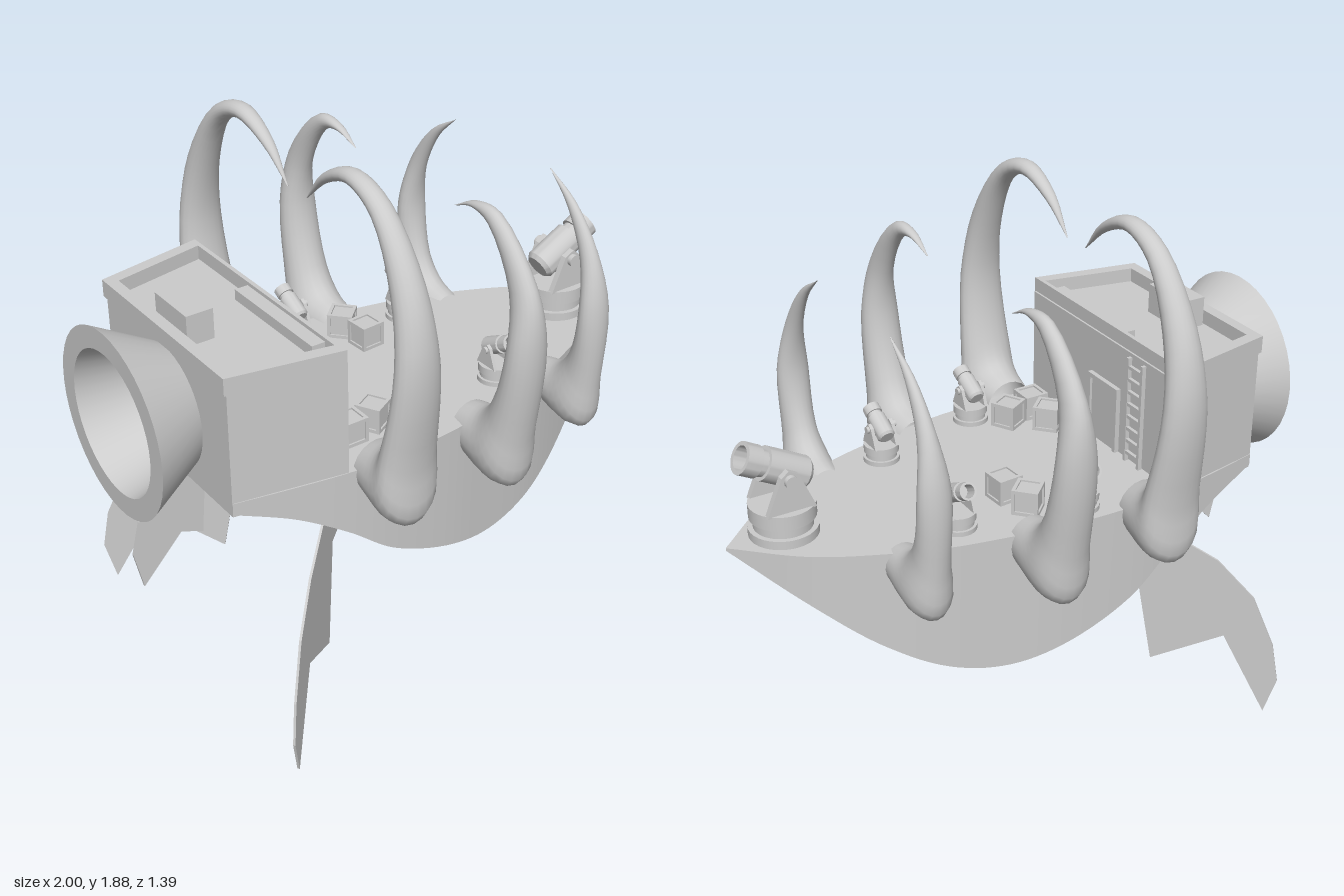
import * as THREE from 'three';
import { toCreasedNormals } from 'three/addons/utils/BufferGeometryUtils.js';

const mat = new THREE.MeshStandardMaterial({ color: 0xcccccc, side: THREE.DoubleSide });

function add(parent, name, geo, x = 0, y = 0, z = 0) {
  const m = new THREE.Mesh(geo, mat);
  m.name = name;
  m.position.set(x, y, z);
  parent.add(m);
  return m;
}
const box = (x, y, z) => new THREE.BoxGeometry(x, y, z);
const cyl = (r, h) => new THREE.CylinderGeometry(r, r, h, 32);
const vectors = (points) => points.map(([x, y]) => new THREE.Vector2(x, y));
const polygon = (points) => new THREE.Shape(vectors(points));
const lathe = (points) => toCreasedNormals(new THREE.LatheGeometry(vectors(points), 40), 0.5);

function extrude(shape, depth) {
  const g = new THREE.ExtrudeGeometry(shape, { depth, bevelEnabled: false });
  return g.translate(0, 0, -depth / 2);
}

// Hull: a box bent to a plan outline and a keel curve; each station is [x, half width, keel height]
function hullGeometry() {
  const curve = new THREE.CatmullRomCurve3([
    [-0.8, 0.37, 0.89], [-0.6, 0.41, 0.81], [-0.42, 0.44, 0.7], [-0.25, 0.452, 0.57],
    [0, 0.44, 0.465], [0.2, 0.405, 0.43], [0.4, 0.36, 0.47], [0.6, 0.285, 0.58],
    [0.8, 0.18, 0.745], [1, 0.001, 0.92],
  ].map((p) => new THREE.Vector3(...p)));
  const g = new THREE.BoxGeometry(1, 1, 1, 60, 1, 1);
  const pos = g.attributes.position;
  for (let i = 0; i < pos.count; i++) {
    const s = curve.getPoint(pos.getX(i) + 0.5);
    pos.setXYZ(i, s.x, pos.getY(i) > 0 ? 0.93 : s.z, pos.getZ(i) * 2 * s.y);
  }
  g.computeVertexNormals();
  return g;
}

// Horn: elliptical rings between an inner and an outer profile; rows are [zIn, yIn, zOut, yOut, half width]
function hornGeometry(rows, side) {
  const curveOf = (f) => new THREE.CatmullRomCurve3(rows.map((r) => new THREE.Vector3(...f(r))));
  const inner = curveOf((r) => [r[4], r[1], r[0]]);
  const outer = curveOf((r) => [r[4], r[3], r[2]]);
  const steps = (rows.length - 1) * 4, n = 20, v = [], idx = [];
  for (let i = 0; i <= steps; i++) {
    const a = inner.getPoint(i / steps), b = outer.getPoint(i / steps);
    for (let j = 0; j < n; j++) {
      const t = (j / n) * Math.PI * 2, k = (1 + Math.cos(t)) / 2;
      v.push(Math.sin(t) * Math.max(a.x, 0.001), a.y + (b.y - a.y) * k, side * (a.z + (b.z - a.z) * k));
      if (i < steps) {
        const p = i * n + j, q = i * n + ((j + 1) % n);
        if (side > 0) idx.push(p, q, p + n, q, q + n, p + n);
        else idx.push(p, p + n, q, q, p + n, q + n);
      }
    }
  }
  const g = new THREE.BufferGeometry();
  g.setAttribute('position', new THREE.Float32BufferAttribute(v, 3));
  g.setIndex(idx);
  g.computeVertexNormals();
  return g;
}

const rearHorn = [
  [0.42, 1.0, 0.42, 0.82, 0.09], [0.5, 1.04, 0.62, 0.79, 0.112], [0.54, 1.12, 0.64, 1.0, 0.1],
  [0.575, 1.36, 0.675, 1.37, 0.078], [0.53, 1.58, 0.62, 1.62, 0.056], [0.43, 1.77, 0.46, 1.83, 0.038],
  [0.31, 1.83, 0.3, 1.88, 0.032], [0.17, 1.785, 0.15, 1.81, 0.02], [0.055, 1.69, 0.053, 1.69, 0.002],
];
const middleHorn = [
  [0.38, 0.97, 0.38, 0.8, 0.08], [0.47, 1.0, 0.62, 0.77, 0.1], [0.53, 1.08, 0.655, 0.95, 0.082],
  [0.585, 1.3, 0.695, 1.3, 0.068], [0.56, 1.47, 0.66, 1.5, 0.04], [0.45, 1.64, 0.48, 1.69, 0.025],
  [0.36, 1.665, 0.37, 1.69, 0.016], [0.27, 1.635, 0.268, 1.636, 0.002],
];
const frontHorn = [
  [0.27, 0.94, 0.27, 0.81, 0.065], [0.36, 0.97, 0.5, 0.78, 0.082], [0.42, 1.05, 0.53, 0.95, 0.06],
  [0.458, 1.23, 0.538, 1.24, 0.056], [0.43, 1.39, 0.485, 1.43, 0.03], [0.35, 1.545, 0.375, 1.57, 0.015],
  [0.25, 1.645, 0.248, 1.645, 0.002],
];

// Gun turret, barrel towards its own +x
function turret(parent, name, x, z, scale, turn) {
  const t = new THREE.Group();
  t.name = name;
  t.position.set(x, 0.93, z);
  t.scale.setScalar(scale);
  t.rotation.y = turn;
  parent.add(t);
  add(t, 'turretFoot', cyl(0.115, 0.03), 0, 0.015);
  add(t, 'turretNeck', cyl(0.098, 0.04), 0, 0.045);
  add(t, 'turretDisc', cyl(0.11, 0.05), 0, 0.09);
  const cheek = polygon([[-0.085, 0.11], [0.085, 0.11], [0.03, 0.24], [0.005, 0.26], [-0.03, 0.24]]);
  for (const s of [-1, 1]) {
    add(t, 'turretCheek', extrude(cheek, 0.022), 0, 0, s * 0.072);
    add(t, 'trunnion', cyl(0.022, 0.02).rotateX(Math.PI / 2), 0, 0.225, s * 0.09);
  }
  const barrel = lathe([
    [0, -0.1], [0.045, -0.1], [0.057, -0.085], [0.057, 0.065], [0.045, 0.065], [0.045, 0.09],
    [0.054, 0.09], [0.054, 0.145], [0.04, 0.145], [0.04, 0.05], [0, 0.05],
  ]);
  add(t, 'barrel', barrel, 0, 0.235).rotation.z = -Math.PI / 2 + 0.5;
}

// Crate: a panelled cube with edge beams
function crate(parent, x, z, turn) {
  const c = new THREE.Group();
  c.name = 'crate';
  c.position.set(x, 0.975, z);
  c.rotation.y = turn;
  parent.add(c);
  add(c, 'cratePanel', box(0.078, 0.078, 0.078));
  for (const a of [-0.039, 0.039]) for (const b of [-0.039, 0.039]) {
    add(c, 'crateBeam', box(0.09, 0.012, 0.012), 0, a, b);
    add(c, 'crateBeam', box(0.012, 0.09, 0.012), a, 0, b);
    add(c, 'crateBeam', box(0.012, 0.012, 0.09), a, b, 0);
  }
}

export function createModel() {
  const g = new THREE.Group();
  g.name = 'hornedShip';
  add(g, 'hull', hullGeometry());

  // Cabin, with a recessed roof inside a low rim
  const plan = (x0, w0, x1, w1) => [[x0, -w0], [x1, -w1], [x1, w1], [x0, w0]];
  const flat = (shape, h, y) => extrude(shape, h).rotateX(-Math.PI / 2).translate(0, y + h / 2, 0);
  add(g, 'cabin', flat(polygon(plan(-0.8, 0.368, -0.418, 0.438)), 0.45, 0.88));
  const rim = polygon(plan(-0.81, 0.372, -0.425, 0.446));
  rim.holes.push(polygon(plan(-0.77, 0.335, -0.44, 0.4).reverse()));
  add(g, 'roofRim', flat(rim, 0.06, 1.32));
  add(g, 'roofStep', box(0.05, 0.045, 0.44), -0.463, 1.345, 0.13);
  add(g, 'roofHatch', box(0.095, 0.11, 0.19), -0.713, 1.38, -0.015);

  // Door and ladder on the cabin front
  add(g, 'doorPanel', box(0.01, 0.23, 0.15), -0.415, 1.045, -0.03);
  add(g, 'doorLintel', box(0.022, 0.016, 0.176), -0.412, 1.165, -0.03);
  for (const s of [-1, 1]) {
    add(g, 'doorPost', box(0.022, 0.24, 0.016), -0.412, 1.05, -0.03 + s * 0.08);
    add(g, 'ladderRail', box(0.015, 0.39, 0.012), -0.406, 1.125, -0.217 + s * 0.04);
  }
  for (let i = 0; i < 8; i++) add(g, 'ladderRung', box(0.012, 0.012, 0.08), -0.406, 0.965 + i * 0.046, -0.217);

  // Rear thruster bell, open to the back
  const bell = lathe([[0.21, 0], [0.32, 0.2], [0.245, 0.2], [0.2, 0.02], [0, 0.02]]);
  add(g, 'thrusterBell', bell, -0.8, 1.1, 0).rotation.z = Math.PI / 2;

  // Tail fins: two splayed outwards, one small in the middle
  const slope = 0.9, stretch = Math.hypot(1, slope);
  const fin = [[0, 0], [0.12, 0.31], [0.31, 0.18], [0.36, 0.56], [0.53, 0.56], [0.45, 0.63],
    [0.3, 0.73], [0.15, 0.62], [0.05, 0.48], [-0.01, 0.29], [-0.03, 0.14]];
  const sideFin = extrude(polygon(fin.map(([x, y]) => [x * stretch, y])), 0.008);
  for (const s of [-1, 1]) {
    add(g, 'sideFin', sideFin, -0.75, 0, s * 0.615).rotation.y = s * Math.atan(slope);
  }
  add(g, 'middleFin', extrude(polygon([[-0.94, 0.44], [-0.79, 0.6], [-0.71, 0.565], [-0.69, 0.78], [-0.57, 0.79],
    [-0.6, 0.83], [-0.72, 0.89], [-0.8, 0.84], [-0.87, 0.79], [-0.94, 0.7], [-0.97, 0.58]]), 0.008));

  // Horns, turrets and crates
  for (const s of [-1, 1]) {
    add(g, 'rearHorn', hornGeometry(rearHorn, s), -0.3);
    add(g, 'middleHorn', hornGeometry(middleHorn, s), 0.11);
    add(g, 'frontHorn', hornGeometry(frontHorn, s), 0.52);
    turret(g, 'sideTurret', -0.1, s * 0.36, 0.55, -s * Math.PI / 2);
    turret(g, 'sideTurret', 0.31, s * 0.265, 0.55, -s * Math.PI / 2);
  }
  turret(g, 'bowTurret', 0.8, 0, 1, 0);
  for (const [x, z, turn] of [[0.06, -0.29, 0.75], [0.085, -0.18, 0.07], [-0.31, 0.17, 0.75],
    [-0.2, 0.26, 0.5], [-0.31, 0.285, 0]]) crate(g, x, z, turn);
  return g;
}
